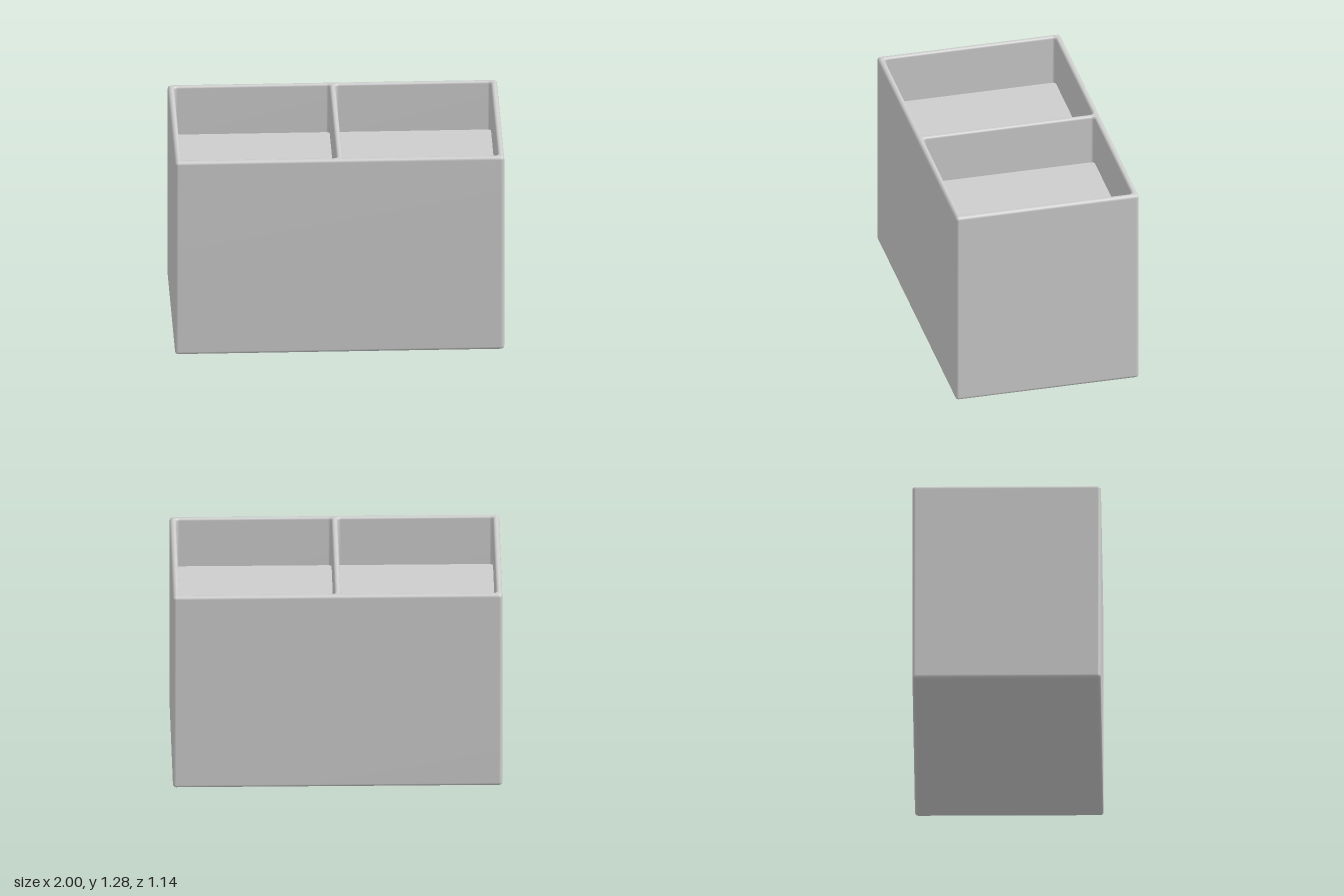
import * as THREE from 'three';

const W = 2, H = 1.285, D = 1.145;      // outer size
const R = 0.02;                         // outer edge rounding
const RIM = 0.015;                      // rounding of the pocket mouths
const FLOOR = 0.965;                    // height of the pocket floors
const PW = 0.945, PD = 1.07, PX = 0.49; // pocket size and centre
const ARC = 4;                          // segments per rounded edge

// Rounded rectangle outline, counterclockwise from above
function outline(w, d, r, cx = 0) {
  r = Math.max(r, 0.0005);
  const pts = [];
  [[1, 1], [-1, 1], [-1, -1], [1, -1]].forEach(([sx, sy], q) => {
    for (let i = 0; i <= ARC; i++) {
      const a = (q + i / ARC) * Math.PI / 2;
      pts.push(new THREE.Vector2(
        cx + sx * (w / 2 - r) + r * Math.cos(a),
        sy * (d / 2 - r) + r * Math.sin(a)));
    }
  });
  return pts;
}

// Wall through rounded rectangles; profile holds [inset, height] pairs
function loft(w, d, r, cx, profile) {
  const pos = [], idx = [], n = 4 * (ARC + 1);
  for (const [inset, y] of profile) {
    for (const p of outline(w - 2 * inset, d - 2 * inset, r - inset, cx)) pos.push(p.x, y, -p.y);
  }
  for (let j = 0; j < profile.length - 1; j++) {
    for (let i = 0; i < n; i++) {
      const a = j * n + i, b = j * n + (i + 1) % n;
      idx.push(a, b, b + n, a, b + n, a + n);
    }
  }
  const geo = new THREE.BufferGeometry();
  geo.setAttribute('position', new THREE.Float32BufferAttribute(pos, 3));
  geo.setIndex(idx);
  geo.computeVertexNormals();
  return geo;
}

// Flat horizontal face with optional holes
function plate(points, y, up = true, holes = []) {
  const shape = new THREE.Shape(points);
  shape.holes = holes.map((h) => new THREE.Path(h));
  return new THREE.ShapeGeometry(shape).rotateX(up ? -Math.PI / 2 : Math.PI / 2).translate(0, y, 0);
}

export function createModel() {
  const group = new THREE.Group();
  group.name = 'dividedBox';
  const grey = new THREE.MeshStandardMaterial({ color: 0xcccccc });
  grey.name = 'grey';
  const add = (name, geo) => {
    const mesh = new THREE.Mesh(geo, grey);
    mesh.name = name;
    group.add(mesh);
  };

  // Outer shell with rounded bottom and top edges
  const shell = [], steps = [...Array(ARC + 1).keys()].map((i) => i / ARC * Math.PI / 2);
  for (const a of steps) shell.push([R * (1 - Math.sin(a)), R * (1 - Math.cos(a))]);
  for (const a of steps) shell.push([R * (1 - Math.cos(a)), H - R * (1 - Math.sin(a))]);
  add('outerShell', loft(W, D, R, 0, shell));
  add('base', plate(outline(W - 2 * R, D - 2 * R, 0), 0, false));

  // Flat top of the rim and divider
  const mouths = [-PX, PX].map((x) => outline(PW + 2 * RIM, PD + 2 * RIM, R + RIM, x));
  add('rim', plate(outline(W - 2 * R, D - 2 * R, 0), H, true, mouths));

  // Two pockets with rounded mouths
  const lining = steps.map((a) => [-RIM * (1 - Math.sin(a)), H - RIM * (1 - Math.cos(a))]);
  lining.push([0, FLOOR]);
  for (const [side, x] of [['right', -PX], ['left', PX]]) {
    add(side + 'PocketWalls', loft(PW, PD, R, x, lining));
    add(side + 'PocketFloor', plate(outline(PW, PD, R, x), FLOOR));
  }
  return group;
}
